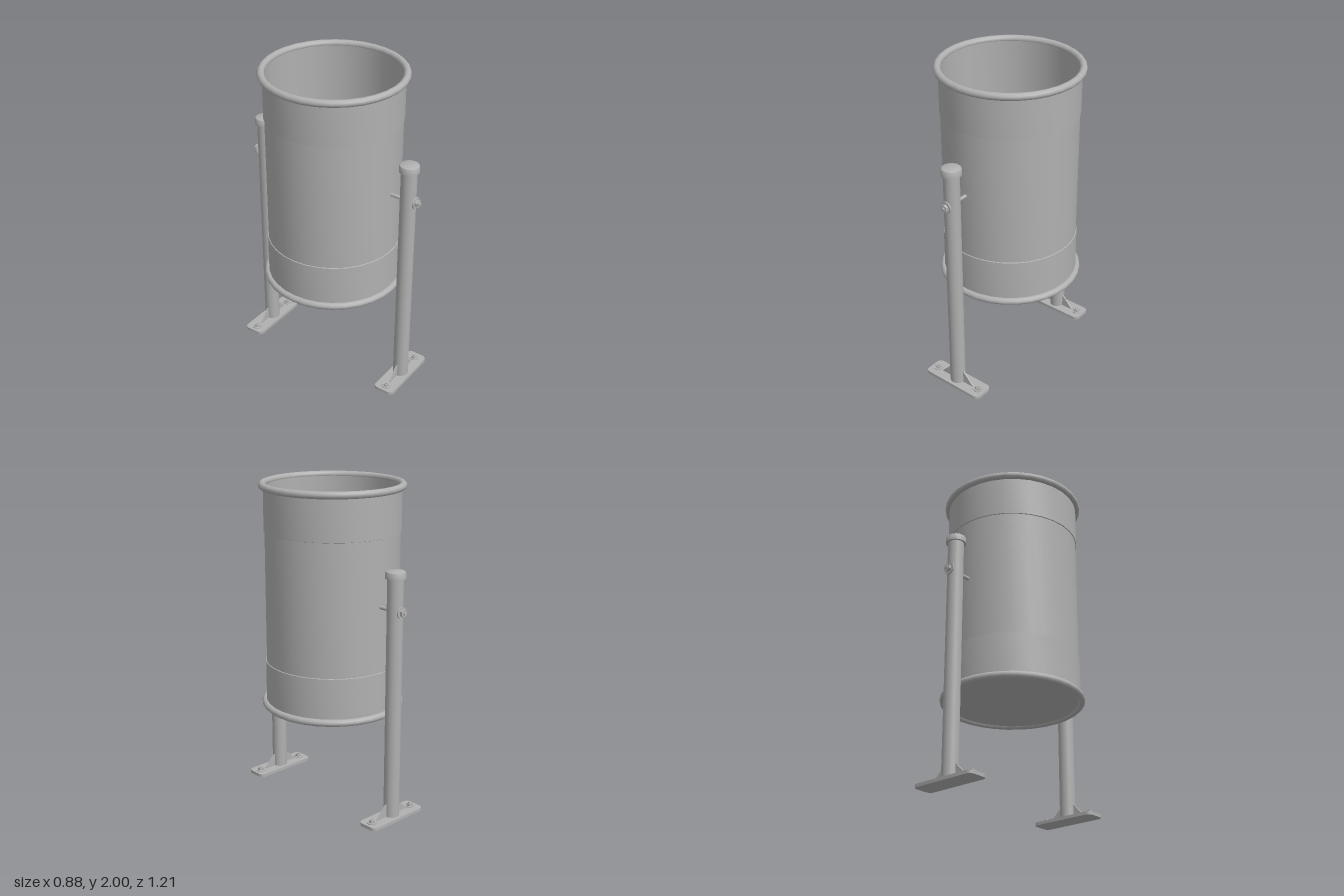
import * as THREE from 'three';
import { toCreasedNormals } from 'three/addons/utils/BufferGeometryUtils.js';

export function createModel() {
  const model = new THREE.Group();
  model.name = 'litterBin';
  const metal = new THREE.MeshStandardMaterial({ color: 0xb0b0b0 });
  metal.name = 'grey metal';

  const add = (parent, name, geometry, x = 0, y = 0, z = 0) => {
    const mesh = new THREE.Mesh(geometry, metal);
    mesh.name = name;
    mesh.position.set(x, y, z);
    parent.add(mesh);
    return mesh;
  };
  const lathe = (points, segments) => toCreasedNormals(
    new THREE.LatheGeometry(points.map(([r, y]) => new THREE.Vector2(r, y)), segments), 0.6);
  const disc = (r, h, sides = 24) => new THREE.CylinderGeometry(r, r, h, sides);
  const hex = (r, h) => toCreasedNormals(disc(r, h, 6), 0.5);

  // Drum: bottom, outer wall with slightly raised end bands, inner wall and floor
  add(model, 'drum', lathe([
    [0, 0.625], [0.413, 0.625], [0.413, 0.902], [0.408, 0.904], [0.408, 1.708],
    [0.413, 1.71], [0.413, 1.978], [0.398, 1.978], [0.398, 0.645], [0, 0.645],
  ], 32));

  // Rolled rims
  for (const [name, y] of [['topRim', 1.978], ['bottomRim', 0.632]]) {
    add(model, name, new THREE.TorusGeometry(0.418, 0.022, 12, 32).rotateX(Math.PI / 2), 0, y);
  }

  // Rounded foot plate outline
  const w = 0.215, d = 0.0675, r = 0.03;
  const plate = new THREE.Shape();
  plate.moveTo(-w + r, -d);
  plate.absarc(w - r, -d + r, r, -Math.PI / 2, 0);
  plate.absarc(w - r, d - r, r, 0, Math.PI / 2);
  plate.absarc(-w + r, d - r, r, Math.PI / 2, Math.PI);
  plate.absarc(-w + r, -d + r, r, Math.PI, Math.PI * 1.5);
  const plateGeometry = toCreasedNormals(new THREE.ExtrudeGeometry(plate,
    { depth: 0.02, bevelEnabled: false, curveSegments: 6 }).rotateX(-Math.PI / 2), 0.5);

  // Triangular stiffener
  const gusset = new THREE.Shape([[0.04, 0.015], [0.125, 0.015], [0.125, 0.024], [0.05, 0.1], [0.04, 0.1]]
    .map(([x, y]) => new THREE.Vector2(x, y)));
  const gussetGeometry = new THREE.ExtrudeGeometry(gusset, { depth: 0.01, bevelEnabled: false })
    .translate(0, 0, -0.005);

  // Front and back stands; each is built facing +z, then turned
  for (const [name, turn] of [['frontStand', 0], ['backStand', Math.PI]]) {
    const stand = new THREE.Group();
    stand.name = name;
    stand.rotation.y = turn;
    model.add(stand);
    const z = 0.522;

    add(stand, 'footPlate', plateGeometry, 0, 0, z);
    add(stand, 'post', disc(0.048, 1.5, 32), 0, 0.765, z);
    add(stand, 'postCap', lathe([
      [0, 1.5], [0.06, 1.5], [0.06, 1.533], [0.057, 1.54], [0.048, 1.545], [0, 1.547],
    ], 32), 0, 0, z);

    for (const side of [0, 1]) {
      add(stand, 'gusset', gussetGeometry, 0, 0, z).rotation.y = side * Math.PI;
      const x = side ? 0.167 : -0.167;
      add(stand, 'anchorWasher', disc(0.029, 0.006), x, 0.023, z);
      add(stand, 'anchorNut', hex(0.02, 0.014), x, 0.033, z);
      add(stand, 'anchorBolt', disc(0.01, 0.03, 16), x, 0.032, z);
    }

    // Pivot bolt through post and drum wall
    const pivot = new THREE.Group();
    pivot.name = 'pivotBolt';
    pivot.position.y = 1.307;
    pivot.rotation.x = Math.PI / 2;
    stand.add(pivot);
    add(pivot, 'rod', disc(0.011, 0.253, 16), 0, 0.4785);
    add(pivot, 'outerWasher', disc(0.036, 0.008), 0, 0.575);
    add(pivot, 'outerNut', hex(0.024, 0.018), 0, 0.588);
    add(pivot, 'innerWasher', disc(0.036, 0.008), 0, 0.394);
    add(pivot, 'innerNut', hex(0.024, 0.018), 0, 0.381);
  }
  return model;
}
